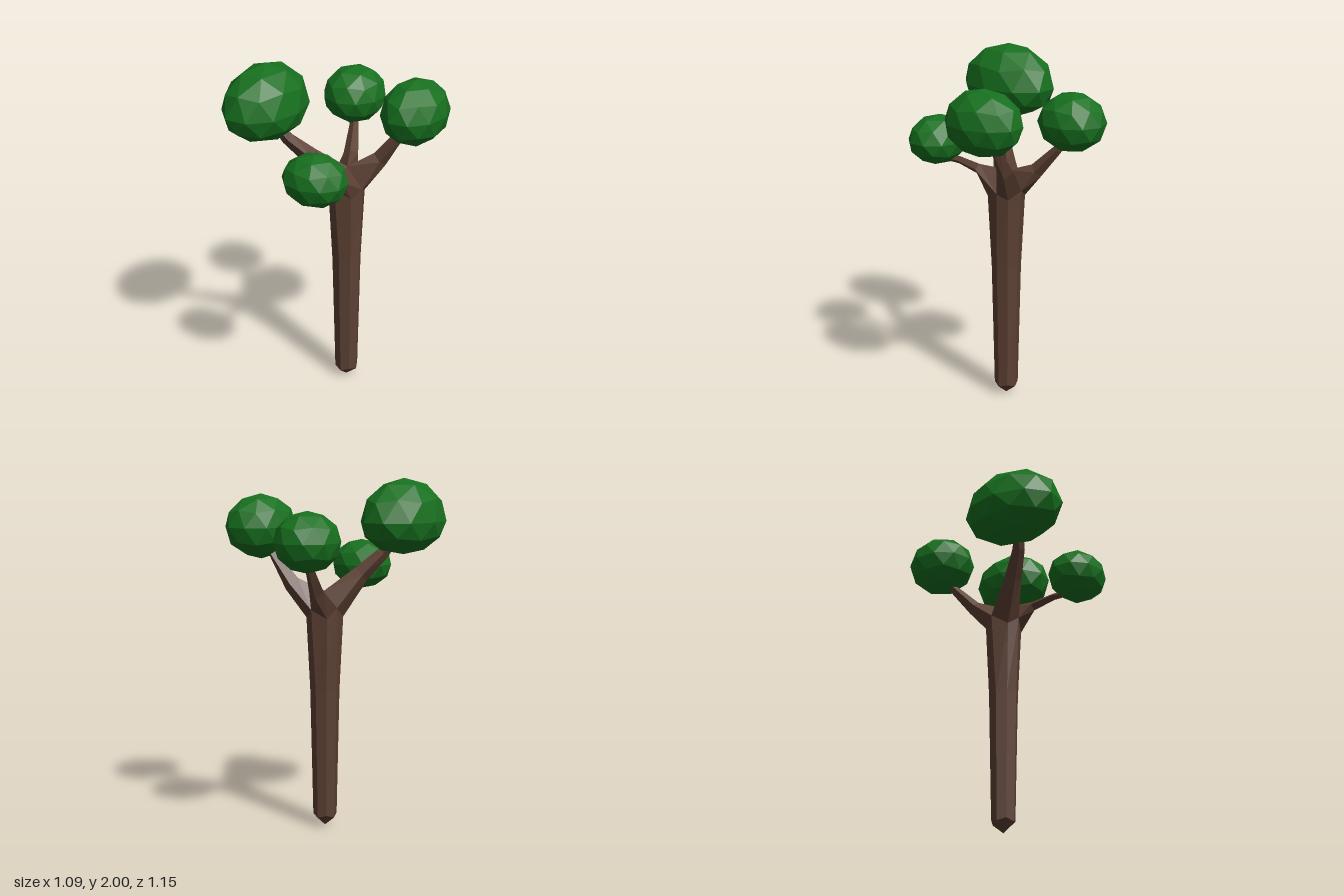
import * as THREE from 'three';

const bark = new THREE.MeshStandardMaterial({ color: 0x5c4033, flatShading: true });
const leaf = new THREE.MeshStandardMaterial({ color: 0x17701f, flatShading: true });
const V = (x, y, z) => new THREE.Vector3(x, y, z);

// Skin a sequence of equal-length closed loops of points.
function loft(loops, name) {
  const pos = [];
  const n = loops[0].length;
  const tri = (a, b, c) => {
    if (a.equals(b) || b.equals(c) || a.equals(c)) return;
    for (const p of [a, b, c]) pos.push(p.x, p.y, p.z);
  };
  for (let k = 0; k < loops.length - 1; k++) {
    for (let i = 0; i < n; i++) {
      const j = (i + 1) % n;
      const a = loops[k], b = loops[k + 1];
      tri(a[i], a[j], b[j]);
      tri(a[i], b[j], b[i]);
    }
  }
  const geo = new THREE.BufferGeometry();
  geo.setAttribute('position', new THREE.Float32BufferAttribute(pos, 3));
  geo.computeVertexNormals();
  const mesh = new THREE.Mesh(geo, bark);
  mesh.name = name;
  return mesh;
}

// Octagonal trunk ring, counter-clockwise from above.
function ring(y, r, cornerY = y) {
  return Array.from({ length: 8 }, (_, i) => {
    const a = (i * Math.PI) / 4;
    return V(0.013 + r * Math.cos(a), i % 2 ? cornerY : y, -0.04 - r * Math.sin(a));
  });
}

// Diamond section of a branch: bottom, right, top, left.
function diamond(p, dir, r) {
  const look = dir.clone().normalize().negate();
  const right = look.clone().cross(V(0, 1, 0)).normalize();
  const up = right.clone().cross(look);
  return [[up, -r], [right, r], [up, r], [right, -r]].map(([v, s]) => p.clone().addScaledVector(v, s));
}

// Faceted crown fitted to an exact box; lift and drop are heights above and below its widest level.
function crown(name, [x, y, z], [rx, lift, drop, rz], turn) {
  const geo = new THREE.IcosahedronGeometry(1, 1);
  geo.rotateZ(-Math.atan(2 / (1 + Math.sqrt(5)))).rotateY(turn);
  geo.computeBoundingBox();
  const { max, min } = geo.boundingBox;
  const p = geo.attributes.position;
  for (let i = 0; i < p.count; i++) {
    const v = V().fromBufferAttribute(p, i);
    p.setXYZ(i,
      ((2 * v.x - max.x - min.x) / (max.x - min.x)) * rx,
      v.y * (v.y > 0 ? lift : drop),
      ((2 * v.z - max.z - min.z) / (max.z - min.z)) * rz);
  }
  geo.computeVertexNormals();
  const mesh = new THREE.Mesh(geo, leaf);
  mesh.position.set(x, y, z);
  mesh.name = name;
  return mesh;
}

export function createModel() {
  const tree = new THREE.Group();
  tree.name = 'tree';

  // Trunk: pointed foot, slight flare, uneven top where the branches fork
  const fork = V(0.01, 1.37, -0.05);
  const valleys = [V(0.11, 1.25, -0.05), V(0.02, 1.27, -0.155), V(-0.09, 1.28, -0.06), V(0, 1.27, 0.07)];
  const armpits = ring(1.22, 0.105).filter((_, i) => i % 2);
  const top = valleys.flatMap((v, i) => [v, armpits[i]]);
  const foot = Array.from({ length: 8 }, () => V(0.013, 0, -0.04));
  tree.add(loft([foot, ring(0.055, 0.068, 0.07), ring(0.8, 0.084), top], 'trunk'));

  // Branches: path points as x, y, z, radius, each starting at one quarter of the fork
  const branches = [
    ['backLeft', [[0.16, 1.41, -0.155, 0.048], [0.27, 1.57, -0.18, 0.028], [0.33, 1.68, -0.18, 0.02]]],
    ['backRight', [[-0.055, 1.38, -0.2, 0.042], [-0.1, 1.51, -0.31, 0.026], [-0.13, 1.62, -0.37, 0.02]]],
    ['frontRight', [[-0.13, 1.46, 0.11, 0.05], [-0.22, 1.58, 0.2, 0.035], [-0.29, 1.69, 0.24, 0.025]]],
    ['frontLeft', [[0.06, 1.355, 0.13, 0.03], [0.06, 1.38, 0.27, 0.022], [0.065, 1.38, 0.36, 0.018]]],
  ];
  branches.forEach(([name, path], i) => {
    const loops = [[armpits[i], valleys[(i + 1) % 4], fork, valleys[i]]];
    let prev = V(0.01, 1.28, -0.045);
    path.forEach(([x, y, z, r], k) => {
      const p = V(x, y, z);
      const next = path[k + 1] ? V(...path[k + 1].slice(0, 3)) : p;
      loops.push(diamond(p, next.clone().sub(prev), r));
      prev = p;
    });
    loops.push([0, 1, 2, 3].map(() => prev.clone()));
    tree.add(loft(loops, name + 'Branch'));
  });

  // Leaf crowns: centre, then half width, lift, drop, half depth
  tree.add(
    crown('frontRightCrown', [-0.333, 1.76, 0.235], [0.212, 0.24, 0.185, 0.283], 0.3),
    crown('backLeftCrown', [0.363, 1.725, -0.18], [0.179, 0.185, 0.183, 0.225], 1.0),
    crown('backRightCrown', [-0.137, 1.67, -0.38], [0.172, 0.167, 0.167, 0.196], 0.6),
    crown('frontLeftCrown', [0.088, 1.485, 0.41], [0.177, 0.145, 0.145, 0.16], 0),
  );
  return tree;
}
